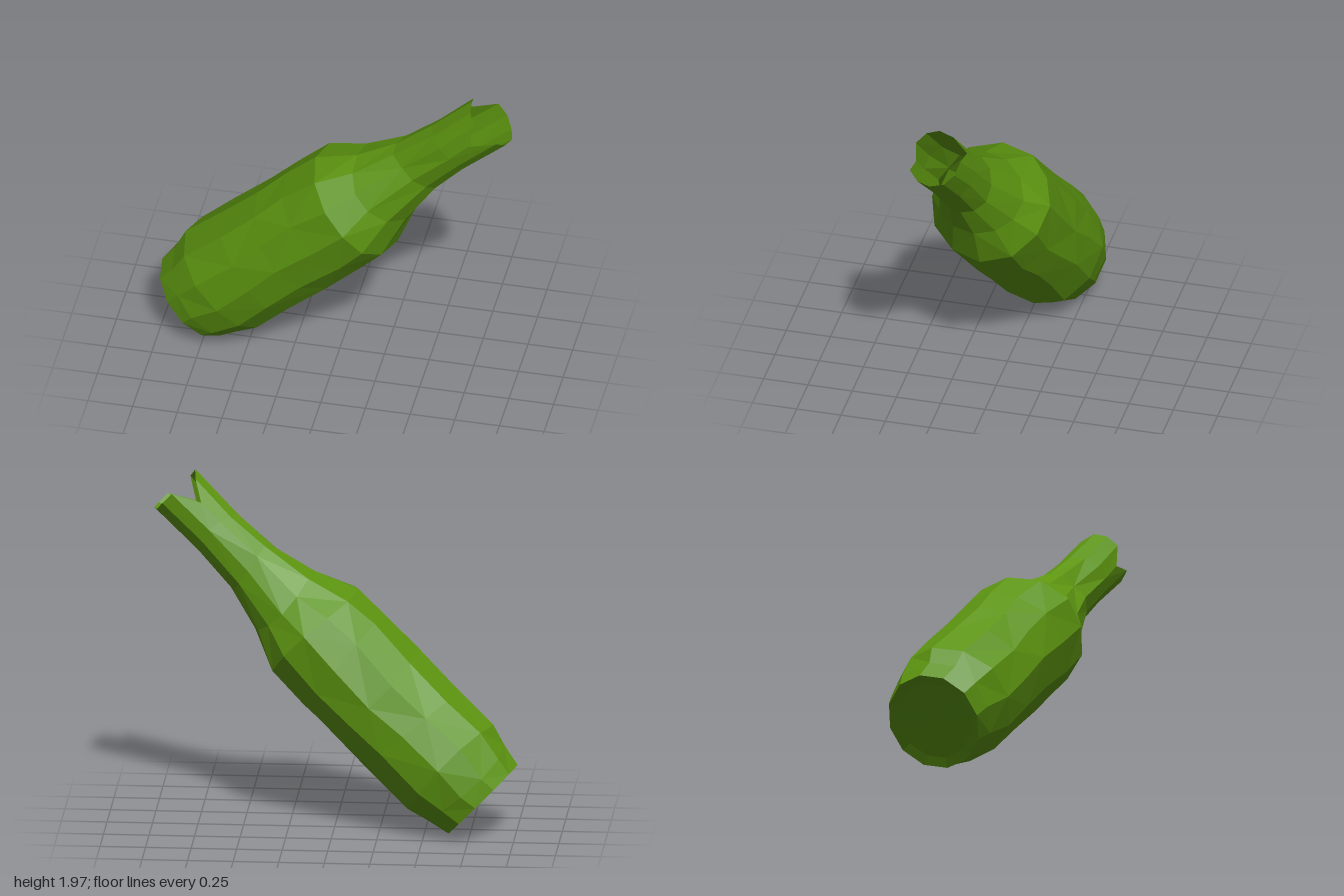
import * as THREE from 'three';

const SIDES = 12;

// One cross-section: s along the axis, radii across (ru, rw), and roughness of the hand-cut facets
function ring(s, ru, rw, rough = 0, offsets = null) {
  return Array.from({ length: SIDES }, (_, k) => {
    const wobble = Math.sin(k * 5.3 + s * 17.1);
    const a = (k / SIDES) * Math.PI * 2 + wobble * rough * 4;
    const f = 1 + Math.sin(k * 2.7 + s * 31) * rough;
    const along = s + (offsets ? offsets[k] : wobble * rough * 2);
    return new THREE.Vector3(Math.cos(a) * ru * f, Math.sin(a) * rw * f, along);
  });
}

// Skin consecutive rings into a faceted surface
function loft(rings) {
  const pos = [];
  const tri = (...pts) => pts.forEach((p) => pos.push(p.x, p.y, p.z));
  for (let i = 0; i < rings.length - 1; i++) {
    for (let k = 0; k < SIDES; k++) {
      const n = (k + 1) % SIDES;
      const a = rings[i][k], b = rings[i][n], c = rings[i + 1][n], d = rings[i + 1][k];
      if ((i + k) % 2) { tri(a, b, c); tri(a, c, d); }
      else { tri(a, b, d); tri(b, c, d); }
    }
  }
  const geo = new THREE.BufferGeometry();
  geo.setAttribute('position', new THREE.Float32BufferAttribute(pos, 3));
  geo.computeVertexNormals();
  return geo;
}

export function createModel() {
  const group = new THREE.Group();
  group.name = 'brokenBottle';
  const glass = new THREE.MeshStandardMaterial({
    color: 0x5c9410, flatShading: true, side: THREE.DoubleSide,
  });

  // Leaning axis from the base centre to the neck opening
  const base = new THREE.Vector3(-0.82, 0.2, -0.085);
  const mouth = new THREE.Vector3(0.89, 1.855, 0.185);
  const axis = mouth.clone().sub(base);
  const length = axis.length();
  axis.normalize();
  const u = new THREE.Vector3(0, 0, 1).cross(axis).normalize();
  const w = axis.clone().cross(u);
  const frame = new THREE.Matrix4().makeBasis(u, w, axis).setPosition(base);

  const add = (name, rings) => {
    const mesh = new THREE.Mesh(loft(rings).applyMatrix4(frame), glass);
    mesh.name = name;
    group.add(mesh);
  };

  const foot = ring(0, 0.275, 0.27);
  const shoulder = ring(1.31, 0.337, 0.342, 0.01);
  const collar = ring(1.52, 0.23, 0.245, 0.012);

  // Slightly recessed underside
  add('base', [ring(0.02, 0, 0), ring(0.015, 0.22, 0.215), foot]);

  // Rounded heel and long straight body
  add('body', [
    foot,
    ring(0.11, 0.3, 0.3, 0.01),
    ring(0.27, 0.338, 0.335, 0.01),
    ring(0.55, 0.34, 0.34, 0.012),
    ring(0.82, 0.338, 0.34, 0.012),
    ring(1.08, 0.338, 0.34, 0.012),
    shoulder,
  ]);
  add('shoulder', [shoulder, collar]);

  // Open neck with a jagged rim: one notch at the front, one at the back
  const jag = [0, -0.005, -0.013, -0.13, 0.007, 0.007, 0.006, -0.008, -0.006, -0.006, -0.153, -0.04];
  const throat = ring(1.8, 0.168, 0.152, 0.012);
  throat[2].multiply(new THREE.Vector3(0.85, 0.88, 1));
  add('neck', [
    collar,
    throat,
    ring(2.08, 0.15, 0.15, 0.012),
    ring(length, 0.158, 0.147, 0, jag),
  ]);

  return group;
}
